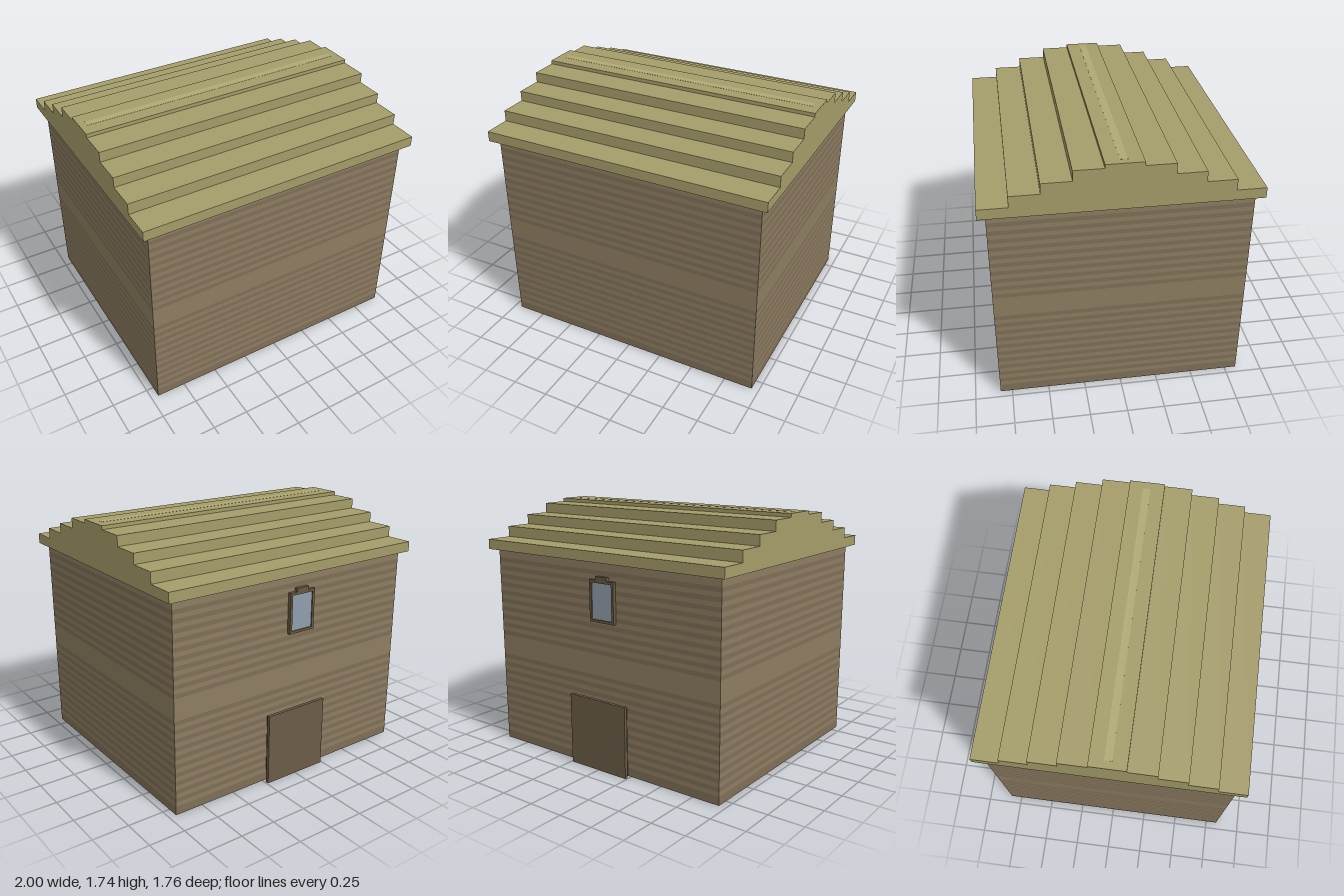
import * as THREE from 'three';
import { mergeGeometries } from 'three/addons/utils/BufferGeometryUtils.js';

const mat = (color, side = THREE.FrontSide) => new THREE.MeshStandardMaterial({ color, side });

function box(parent, name, material, [x0, x1], [y0, y1], [z0, z1]) {
  const mesh = new THREE.Mesh(new THREE.BoxGeometry(x1 - x0, y1 - y0, z1 - z0), material);
  mesh.position.set((x0 + x1) / 2, (y0 + y1) / 2, (z0 + z1) / 2);
  mesh.name = name;
  parent.add(mesh);
  return mesh;
}

// Open four-sided ring of wall between two heights
function wallBand(y0, y1, halfX, halfZ) {
  const g = new THREE.CylinderGeometry(Math.SQRT2, Math.SQRT2, y1 - y0, 4, 1, true).toNonIndexed();
  g.rotateY(Math.PI / 4);
  g.scale(halfX, 1, halfZ);
  g.translate(0, (y0 + y1) / 2, 0);
  g.computeVertexNormals();
  return g;
}

export function createModel() {
  const model = new THREE.Group();
  const halfX = 0.95, halfZ = 0.83, wallTop = 1.43;
  const wood = mat(0x66573f);
  const wallLight = mat(0x8d7d61), wallDark = mat(0x7f6f57);

  // Walls: two storeys of alternating light and dark boards
  const light = [], dark = [];
  const storey = wallTop / 2, rows = 24, rowH = storey / rows;
  for (let s = 0; s < 2; s++) {
    for (let i = 0; i < rows; i++) {
      const y = s * storey + i * rowH;
      const isDark = i % 2 === 1 && i < rows - 1 && !(s === 1 && i < 2) || (s === 0 && i === 0);
      (isDark ? dark : light).push(wallBand(y, y + rowH, halfX, halfZ));
    }
  }
  const walls = new THREE.Group();
  walls.name = 'walls';
  const lightBoards = new THREE.Mesh(mergeGeometries(light), wallLight);
  lightBoards.name = 'lightBoards';
  const darkBoards = new THREE.Mesh(mergeGeometries(dark), wallDark);
  darkBoards.name = 'darkBoards';
  walls.add(lightBoards, darkBoards);
  model.add(walls);

  // Floor
  const floor = new THREE.Mesh(new THREE.PlaneGeometry(halfX * 2, halfZ * 2), wallDark);
  floor.rotation.x = Math.PI / 2;
  floor.name = 'floor';
  model.add(floor);

  // Stepped roof: half profile [z, top of step], mirrored and run along x
  const steps = [[0.88, 1.5], [0.69, 1.575], [0.5, 1.645], [0.31, 1.715], [0.12, 1.74]];
  const half = [];
  let y = wallTop;
  for (const [z, top] of steps) {
    half.push([z, y], [z, top]);
    y = top;
  }
  const profile = [...half, ...half.map(([z, h]) => [-z, h]).reverse()];
  const roofShape = new THREE.Shape(profile.map(([z, h]) => new THREE.Vector2(z, h)));
  const roofGeo = new THREE.ExtrudeGeometry(roofShape, { depth: 2, bevelEnabled: false });
  roofGeo.translate(0, 0, -1);
  roofGeo.rotateY(Math.PI / 2);
  const roof = new THREE.Mesh(roofGeo, mat(0xa49c69));
  roof.name = 'roof';
  model.add(roof);
  box(model, 'ridgeStrip', mat(0xb0a874), [-0.95, 0.95], [1.72, 1.741], [-0.025, 0.025]);

  // Door on the back wall: backing and a slightly larger leaf
  const door = new THREE.Group();
  door.name = 'door';
  box(door, 'doorBacking', wood, [-0.22, 0.22], [0, 0.48], [-0.857, -0.82]);
  box(door, 'doorLeaf', mat(0x6b5c48), [-0.24, 0.24], [0, 0.5], [-0.88, -0.857]);
  model.add(door);

  // Small window above the door: frame, pane and cap
  const win = new THREE.Group();
  win.name = 'window';
  const [wx0, wx1, wy0, wy1, bar] = [-0.14, 0.065, 1.03, 1.31, 0.018];
  const depth = [-0.855, -0.82];
  for (const x of [wx0, wx1 - bar]) box(win, 'windowSide', wood, [x, x + bar], [wy0, wy1], depth);
  for (const h of [wy0, wy1 - bar]) box(win, 'windowRail', wood, [wx0 + bar, wx1 - bar], [h, h + bar], depth);
  box(win, 'windowCap', wood, [-0.085, 0.01], [wy1, 1.335], depth);
  box(win, 'windowPane', mat(0x8f9daa), [wx0 + bar, wx1 - bar], [wy0 + bar, wy1 - bar], [-0.848, -0.82]);
  model.add(win);

  return model;
}
